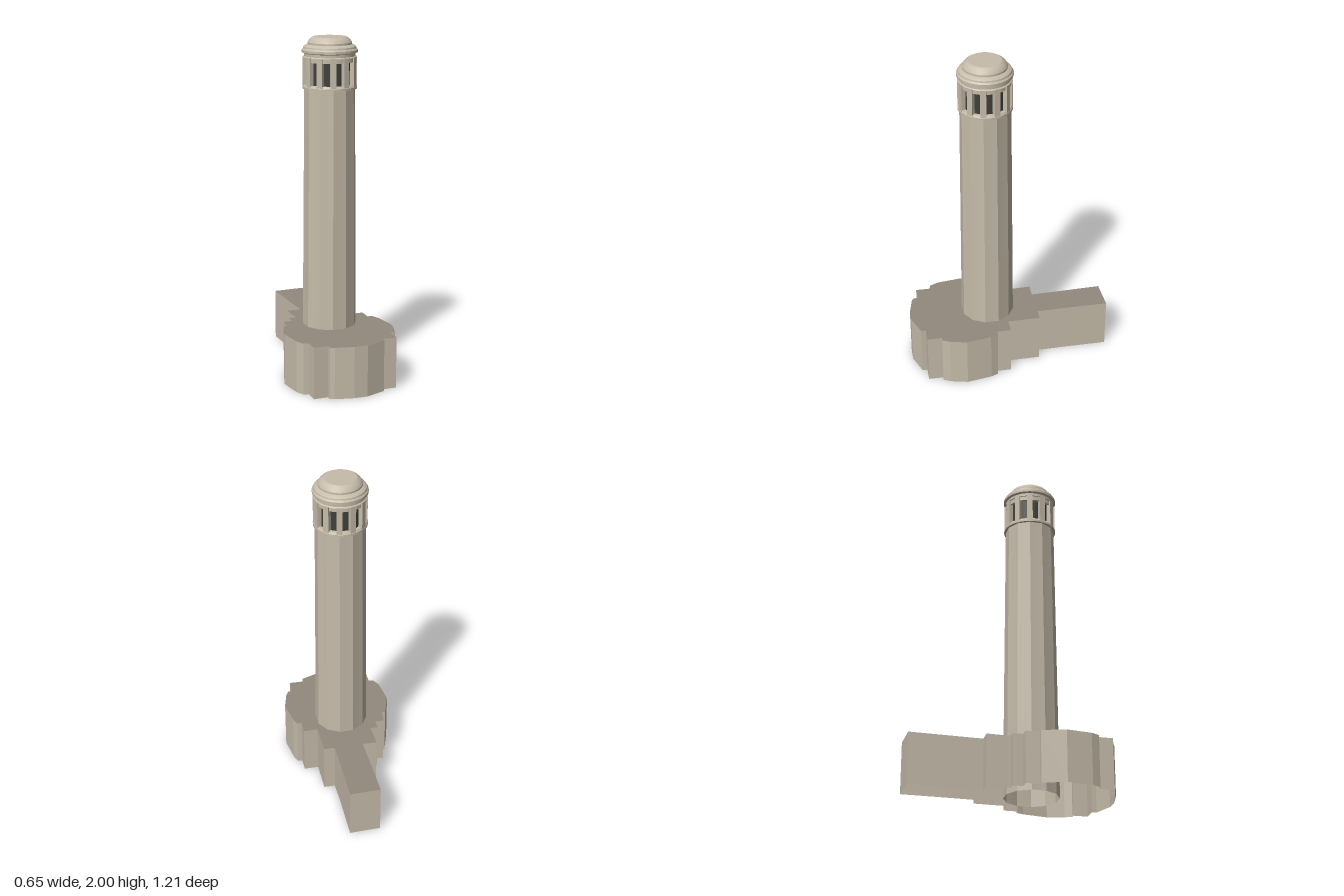
import * as THREE from 'three';
import { toCreasedNormals } from 'three/addons/utils/BufferGeometryUtils.js';

// Outline of the base as seen from above: x, z
const OUTLINE = [
  [-0.065, -0.605], [0.12, -0.605], [0.113, -0.35], [0.111, -0.17], [0.178, -0.168], [0.174, 0.028],
  [0.26, 0.03], [0.258, 0.113], [0.285, 0.115], [0.302, 0.16], [0.323, 0.31], [0.295, 0.41],
  [0.272, 0.452], [0.25, 0.448], [0.246, 0.537], [0.157, 0.533], [0.157, 0.562], [0.035, 0.603],
  [-0.045, 0.6], [-0.155, 0.572], [-0.178, 0.558], [-0.178, 0.528], [-0.262, 0.528], [-0.26, 0.443],
  [-0.29, 0.435], [-0.313, 0.385], [-0.328, 0.235], [-0.28, 0.1], [-0.257, 0.1], [-0.25, 0.02],
  [-0.195, 0.02], [-0.195, -0.038], [-0.15, -0.038], [-0.15, -0.178], [-0.065, -0.175],
];
const BASE_H = 0.305;
const BAYS = 12;

export function createModel() {
  const material = (name, color) => {
    const m = new THREE.MeshStandardMaterial({ color, side: THREE.DoubleSide });
    m.name = name;
    return m;
  };
  const stone = material('stone', 0xc6bcaa);
  const roofing = material('roofing', 0x928a7e);
  const shade = material('window shade', 0x3e403a);

  const model = new THREE.Group();
  model.name = 'tower';
  const add = (name, geometry, mat, parent = model) => {
    const mesh = new THREE.Mesh(geometry, mat);
    mesh.name = name;
    parent.add(mesh);
    return mesh;
  };

  // Base walls, open underneath
  const pos = [];
  OUTLINE.forEach(([x0, z0], i) => {
    const [x1, z1] = OUTLINE[(i + 1) % OUTLINE.length];
    pos.push(x0, 0, z0, x0, BASE_H, z0, x1, BASE_H, z1);
    pos.push(x0, 0, z0, x1, BASE_H, z1, x1, 0, z1);
  });
  const walls = new THREE.BufferGeometry();
  walls.setAttribute('position', new THREE.Float32BufferAttribute(pos, 3));
  walls.computeVertexNormals();
  add('baseWalls', walls, stone);

  // Base roof
  const shape = new THREE.Shape(OUTLINE.map(([x, z]) => new THREE.Vector2(x, -z)));
  const roof = new THREE.ShapeGeometry(shape).rotateX(-Math.PI / 2).translate(0, BASE_H, 0);
  add('baseRoof', roof, roofing);

  const column = new THREE.Group();
  column.name = 'column';
  column.position.set(0.002, 0, 0.124);
  model.add(column);

  // Tapered shaft with shallow flutes: ridges stay, vertices between move inwards
  const shaft = new THREE.CylinderGeometry(0.147, 0.161, 1.71, BAYS * 3, 1, true);
  const p = shaft.attributes.position;
  for (let i = 0; i < p.count; i++) {
    const k = (i % (BAYS * 3 + 1)) % 3 === 0 ? 1 : 0.965;
    p.setXYZ(i, p.getX(i) * k, p.getY(i) + 0.855, p.getZ(i) * k);
  }
  shaft.rotateY(Math.PI / BAYS);
  add('shaft', toCreasedNormals(shaft, 0.1), stone, column);

  const lathe = (points) => toCreasedNormals(
    new THREE.LatheGeometry(points.map(([r, y]) => new THREE.Vector2(r, y)), 48), 0.45);

  // Gallery: sill, dark openings, piers and lintel
  add('gallerySill', lathe([[0.13, 1.706], [0.157, 1.706], [0.157, 1.718], [0.15, 1.73], [0.128, 1.73]]), stone, column);
  add('galleryOpenings', new THREE.CylinderGeometry(0.13, 0.13, 0.14, 48, 1, true).translate(0, 1.795, 0), shade, column);
  for (let i = 0; i < BAYS; i++) {
    const pier = add('galleryPier', new THREE.BoxGeometry(0.034, 0.172, 0.032), stone, column);
    const a = ((i + 0.5) / BAYS) * Math.PI * 2;
    pier.position.set(Math.sin(a) * 0.139, 1.802, Math.cos(a) * 0.139);
    pier.rotation.y = a;
  }
  add('galleryLintel', lathe([[0.128, 1.86], [0.148, 1.86], [0.148, 1.886], [0.135, 1.888]]), stone, column);

  // Stepped crown with a flat top
  add('crown', lathe([
    [0.12, 1.884], [0.154, 1.886], [0.147, 1.892], [0.147, 1.908], [0.16, 1.913], [0.16, 1.927], [0.152, 1.936],
    [0.15, 1.945], [0.14, 1.953], [0.127, 1.958], [0.127, 1.968], [0.121, 1.979], [0.11, 1.991], [0.095, 2], [0, 2],
  ]), stone, column);

  return model;
}
